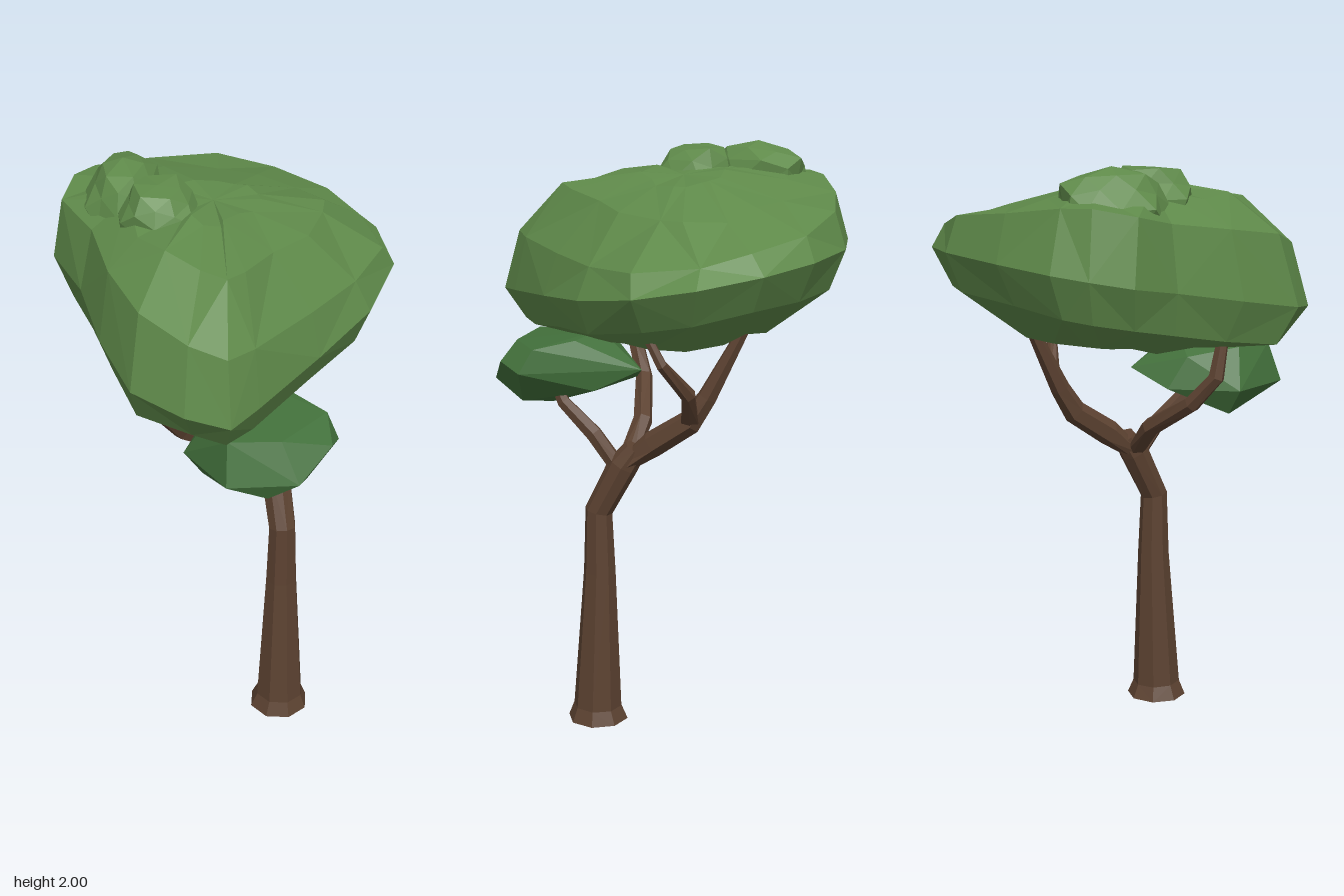
import * as THREE from 'three';
import { mergeVertices } from 'three/addons/utils/BufferGeometryUtils.js';
import { ConvexGeometry } from 'three/addons/geometries/ConvexGeometry.js';

const V = (x, y, z) => new THREE.Vector3(x, y, z);
const paint = color => new THREE.MeshStandardMaterial({ color, flatShading: true });

// Small seeded generator, -1..1
function seeded(seed) {
  return () => {
    seed = (seed * 16807) % 2147483647;
    return (seed / 2147483647) * 2 - 1;
  };
}

// Skin over rings of points (bottom to top, counter-clockwise from above), capped at both ends
function loft(rings) {
  const n = rings[0].length, last = rings.length - 1, pos = [], index = [];
  const push = p => pos.push(p.x, p.y, p.z);
  rings.forEach(r => r.forEach(push));
  for (let k = 0; k < last; k++) {
    for (let i = 0; i < n; i++) {
      const a = k * n + i, b = k * n + (i + 1) % n, c = b + n, d = a + n;
      if ((i + k) % 2) index.push(a, b, c, a, c, d);
      else index.push(a, b, d, b, c, d);
    }
  }
  for (const k of [0, last]) {
    const mid = rings[k].reduce((s, p) => s.add(p), V(0, 0, 0)).divideScalar(n);
    const m = pos.length / 3;
    push(mid);
    for (let i = 0; i < n; i++) {
      const a = k * n + i, b = k * n + (i + 1) % n;
      if (k) index.push(a, b, m);
      else index.push(b, a, m);
    }
  }
  const g = new THREE.BufferGeometry();
  g.setAttribute('position', new THREE.Float32BufferAttribute(pos, 3));
  g.setIndex(index);
  g.computeVertexNormals();
  return g;
}

// Faceted limb along [x, y, z, radius] stations
function limb(stations, sides) {
  const pts = stations.map(s => V(s[0], s[1], s[2]));
  return loft(pts.map((p, k) => {
    const t = pts[Math.min(k + 1, pts.length - 1)].clone().sub(pts[Math.max(k - 1, 0)]).normalize();
    if (k === 0) t.set(0, 1, 0);
    const u = V(1, 0, 0).addScaledVector(t, -t.x).normalize();
    const v = t.clone().cross(u);
    return Array.from({ length: sides }, (_, i) => {
      const a = ((i + 0.5) / sides) * Math.PI * 2, r = stations[k][3];
      return p.clone().addScaledVector(u, Math.cos(a) * r).addScaledVector(v, Math.sin(a) * r);
    });
  }));
}

// Rough, slightly boxy clump of leaves filling the box min..max
function clump(seed, min, max) {
  const rnd = seeded(seed);
  let g = new THREE.IcosahedronGeometry(1, 1);
  g.deleteAttribute('normal');
  g.deleteAttribute('uv');
  g = mergeVertices(g);
  const p = g.attributes.position;
  const bulge = v => Math.sign(v) * Math.abs(v) ** 0.85;
  for (let i = 0; i < p.count; i++) {
    const k = 1 + rnd() * 0.14;
    p.setXYZ(i, bulge(p.getX(i)) * k, bulge(p.getY(i)) * k, bulge(p.getZ(i)) * k);
  }
  g.computeBoundingBox();
  const { min: lo, max: hi } = g.boundingBox;
  const s = max.clone().sub(min).divide(hi.clone().sub(lo));
  g.translate(-lo.x, -lo.y, -lo.z).scale(s.x, s.y, s.z).translate(min.x, min.y, min.z);
  g.computeVertexNormals();
  return g;
}

// Main crown: one outline repeated at several heights, slanting with x and z
function crown() {
  const rnd = seeded(77);
  const outline = [
    [-0.055, -0.64], [0.17, -0.65], [0.36, -0.58], [0.51, -0.43], [0.57, -0.23], [0.49, 0.03],
    [0.33, 0.28], [0.15, 0.54], [0.07, 0.645], [-0.075, 0.61], [-0.25, 0.51], [-0.37, 0.28],
    [-0.46, 0.03], [-0.57, -0.14], [-0.55, -0.28], [-0.49, -0.39], [-0.3, -0.52],
  ].reverse();
  // [scale, height, slope in x, slope in z, jitter]
  const levels = [
    [0.22, 1.375, 0, -0.05, 0.01],
    [0.54, 1.385, -0.03, -0.1, 0.02],
    [0.89, 1.463, -0.03, -0.18, 0.015],
    [1, 1.59, -0.05, -0.18, 0],
    [0.91, 1.75, -0.2, -0.11, 0.015],
    [0.62, 1.855, -0.17, -0.01, 0.025],
    [0.25, 1.905, -0.12, 0, 0.015],
  ];
  const cx = -0.03, cz = -0.04;
  return loft(levels.map(([s, h, sx, sz, j]) => outline.map(([ox, oz]) => {
    const x = cx + (ox - cx) * s + rnd() * j;
    const z = cz + (oz - cz) * s + rnd() * j;
    return V(x, h + sx * x + sz * z + rnd() * 0.7 * j, z);
  })));
}

// Lower clump: faceted hull of its corner points
const lowerCorners = [
  [0.4, 1.26, 0.34], [0.36, 1.34, 0.31], [0.38, 1.29, 0.43], [0.28, 1.2, 0.53], [0.3, 1.14, 0.4],
  [0.12, 1.1, 0.4], [-0.04, 1.11, 0.34], [-0.1, 1.2, 0.36], [-0.02, 1.34, 0.38], [0.12, 1.38, 0.2],
  [0.24, 1.36, 0.22], [0.05, 1.2, 0.56], [0.05, 1.34, 0.51], [0.22, 1.33, 0.48], [0.12, 1.26, 0.03],
  [0.0, 1.2, 0.13], [0.22, 1.19, 0.16], [0.0, 1.31, 0.2], [0.18, 1.14, 0.52],
];

export function createModel() {
  const tree = new THREE.Group();
  const bark = paint(0x5c4231), leaf = paint(0x5f8a4a), darkLeaf = paint(0x42703b);
  const add = (name, geometry, material) => {
    const mesh = new THREE.Mesh(geometry, material);
    mesh.name = name;
    tree.add(mesh);
  };

  // Trunk with a flared foot, leaning back towards the fork
  add('trunk', limb([
    [0.22, 0, 0.155, 0.106], [0.222, 0.05, 0.155, 0.085], [0.22, 0.55, 0.142, 0.056],
    [0.22, 0.77, 0.143, 0.048], [0.19, 0.94, 0.06, 0.052], [0.175, 1.0, 0.02, 0.04],
  ], 8), bark);

  // Branches
  const branches = {
    frontBranch: [[0.195, 0.92, 0.07, 0.035], [0.22, 1.04, 0.16, 0.03], [0.24, 1.14, 0.27, 0.024], [0.24, 1.22, 0.32, 0.015]],
    rightBranch: [[0.19, 0.93, 0.06, 0.036], [0.04, 1.06, 0.08, 0.034], [-0.12, 1.17, 0.18, 0.03],
      [-0.175, 1.27, 0.25, 0.028], [-0.16, 1.42, 0.28, 0.02]],
    backBranch: [[0.185, 0.94, 0.05, 0.046], [0.16, 1.02, -0.04, 0.045], [0.13, 1.11, -0.17, 0.042],
      [0.11, 1.2, -0.225, 0.034], [0.06, 1.47, -0.355, 0.018]],
    leftBranch: [[0.13, 1.1, -0.17, 0.034], [0.23, 1.23, -0.225, 0.026], [0.35, 1.35, -0.2, 0.019], [0.365, 1.48, -0.13, 0.014]],
  };
  for (const [name, stations] of Object.entries(branches)) add(name, limb(stations, 6), bark);

  // Foliage
  add('mainCrown', crown(), leaf);
  add('crownBackClump', clump(11, V(-0.46, 1.74, -0.32), V(-0.2, 2, 0.04)), leaf);
  add('crownFrontClump', clump(5, V(-0.33, 1.78, -0.12), V(-0.06, 1.985, 0.15)), leaf);
  add('lowerClump', new ConvexGeometry(lowerCorners.map(c => V(...c))), darkLeaf);
  return tree;
}
